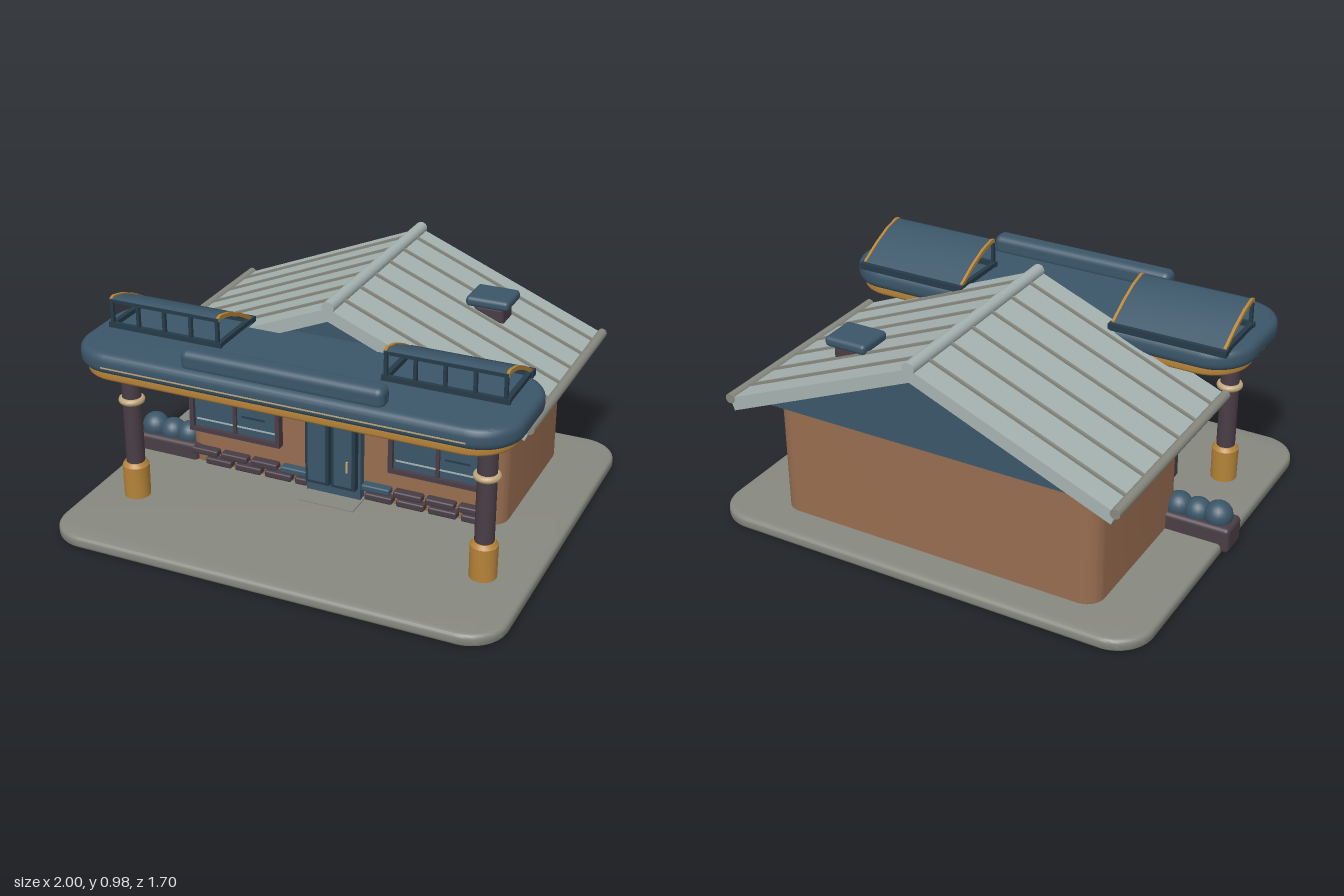
import * as THREE from 'three';
import { toCreasedNormals } from 'three/addons/utils/BufferGeometryUtils.js';
import { RoundedBoxGeometry } from 'three/addons/geometries/RoundedBoxGeometry.js';

const mat = (name, color) => new THREE.MeshStandardMaterial({ name, color });

export function createModel() {
  const concrete = mat('concrete', 0x87887f), wall = mat('brown wall', 0x986d50);
  const roofMat = mat('pale roof', 0xa6b3b1), blue = mat('slate blue', 0x3b5669);
  const gold = mat('gold', 0xb68439), plum = mat('dark plum', 0x493d45);
  const cream = mat('cream', 0xc0a67c), navy = mat('dark navy', 0x263b49);

  const model = new THREE.Group();
  const CX = 0.013; // building axis
  const add = (name, geo, m, x = 0, y = 0, z = 0, parent = model) => {
    const mesh = new THREE.Mesh(geo, m);
    mesh.name = name;
    mesh.position.set(x, y, z);
    parent.add(mesh);
    return mesh;
  };
  // box given by its limits, optionally rounded
  const box = (name, m, x0, x1, y0, y1, z0, z1, r = 0) => {
    const s = [x1 - x0, y1 - y0, z1 - z0];
    const geo = r ? new RoundedBoxGeometry(...s, 3, r) : new THREE.BoxGeometry(...s);
    return add(name, geo, m, (x0 + x1) / 2, (y0 + y1) / 2, (z0 + z1) / 2);
  };
  // horizontal slab with rounded plan corners and rolled edges, standing on its own y = 0
  const slab = (w, d, r, h, b) => {
    const x = w / 2 - b, y = d / 2 - b, q = r - b, s = new THREE.Shape();
    s.absarc(x - q, y - q, q, 0, Math.PI / 2);
    s.absarc(-x + q, y - q, q, Math.PI / 2, Math.PI);
    s.absarc(-x + q, -y + q, q, Math.PI, Math.PI * 1.5);
    s.absarc(x - q, -y + q, q, Math.PI * 1.5, Math.PI * 2);
    const geo = new THREE.ExtrudeGeometry(s, {
      depth: h - 2 * b, bevelEnabled: b > 0, bevelThickness: b, bevelSize: b, bevelSegments: 4, curveSegments: 8,
    });
    geo.translate(0, 0, b).rotateX(-Math.PI / 2);
    return toCreasedNormals(geo, 0.7);
  };
  // sheet of thickness t following [z, y] points, spanning x0..x1
  const sheet = (pts, x0, x1, t) => {
    const outline = [...pts, ...pts.map(([z, y]) => [z, y - t]).reverse()];
    const s = new THREE.Shape(outline.map(p => new THREE.Vector2(...p)));
    const geo = new THREE.ExtrudeGeometry(s, { depth: x1 - x0, bevelEnabled: false });
    geo.rotateY(-Math.PI / 2).translate(x1, 0, 0);
    return toCreasedNormals(geo, 0.6);
  };
  // polygon in x, y extruded along z0..z1
  const prism = (pts, z0, z1) => new THREE.ExtrudeGeometry(
    new THREE.Shape(pts.map(p => new THREE.Vector2(...p))), { depth: z1 - z0, bevelEnabled: false },
  ).translate(0, 0, z0);

  // ground and walls
  add('groundSlab', slab(1.965, 1.7, 0.16, 0.055, 0.018), concrete, CX, 0, -0.005);
  add('walls', slab(1.47, 0.76, 0.08, 0.55, 0), wall, CX, 0.045, -0.32);
  box('doorStep', concrete, -0.12, 0.135, 0.05, 0.06, 0.04, 0.2);

  // gable roof
  add('gable', prism([[-0.74, 0.585], [0.74, 0.585], [0, 0.9]], -0.77, 0.125), blue, CX);
  const roofShape = [[0, 0.955], [-0.865, 0.598], [-0.845, 0.545], [0, 0.898], [0.845, 0.545], [0.865, 0.598]];
  add('roof', prism(roofShape, -0.82, 0.18), roofMat, CX);
  const pipe = (name, m, r, x, y) =>
    add(name, new THREE.CylinderGeometry(r, r, 1.005, 16), m, x, y, -0.322).rotation.x = Math.PI / 2;
  pipe('ridgeCap', roofMat, 0.027, CX, 0.956);
  const pitch = Math.atan2(0.357, 0.865);
  for (const s of [-1, 1]) {
    pipe('eaveGutter', concrete, 0.021, CX + s * 0.862, 0.597);
    for (let i = 0; i < 6; i++) {
      const seam = add('roofSeam', new THREE.BoxGeometry(0.92, 0.016, 0.011), concrete,
        CX + s * 0.433, 0.779, 0.064 - i * 0.155);
      seam.rotation.z = -s * pitch;
    }
  }
  box('ventStem', plum, 0.41, 0.545, 0.7, 0.81, -0.56, -0.43, 0.02);
  box('ventCap', blue, 0.38, 0.572, 0.8, 0.845, -0.58, -0.41, 0.018);

  // front canopy
  add('canopyTrim', slab(1.83, 0.53, 0.17, 0.05, 0.012), gold, CX, 0.69, 0.382);
  add('canopyDeck', slab(1.885, 0.555, 0.18, 0.09, 0.032), blue, CX, 0.718, 0.382);
  box('canopyStripe', cream, -0.76, 0.785, 0.748, 0.754, 0.654, 0.661);
  box('canopyBar', blue, -0.415, 0.445, 0.79, 0.88, 0.546, 0.633, 0.03);

  // columns and tilted canopy panels, one of each per side
  for (const s of [-1, 1]) {
    const x = CX + s * 0.783, z = 0.428;
    const foot = [[0, 0.05], [0.056, 0.05], [0.057, 0.2], [0.045, 0.217], [0, 0.217]];
    add('columnFoot', toCreasedNormals(new THREE.LatheGeometry(foot.map(p => new THREE.Vector2(...p)), 20), 0.6),
      gold, x, 0, z);
    add('columnShaft', new THREE.CylinderGeometry(0.04, 0.04, 0.5, 20), plum, x, 0.45, z);
    const ring = add('columnRing', new THREE.TorusGeometry(0.041, 0.015, 10, 24), cream, x, 0.505, z);
    ring.rotation.x = Math.PI / 2;

    const px = s < 0 ? -0.608 : 0.605, h = 0.25;
    const slope = [[0.125, 0.828], [0.22, 0.882], [0.31, 0.921], [0.385, 0.938], [0.405, 0.932]];
    add('tiltedPanel', sheet(slope, px - h, px + h, 0.012), blue);
    for (const e of [-1, 1]) {
      const ex = px + e * (h - 0.004);
      add('panelEdge', sheet(slope.map(([a, b]) => [a, b + 0.005]), ex - 0.006, ex + 0.006, 0.018), gold);
      box('panelSideRail', navy, ex - 0.01, ex + 0.01, 0.803, 0.828, 0.13, 0.41);
    }
    for (let i = 0; i < 5; i++) {
      const bx = px - 0.242 + i * 0.121;
      box('panelPost', navy, bx - 0.007, bx + 0.007, 0.805, 0.93, 0.396, 0.411);
    }
    box('panelTopRail', navy, px - h, px + h, 0.918, 0.932, 0.396, 0.41);
    box('panelFrontRail', navy, px - 0.26, px + 0.26, 0.803, 0.83, 0.394, 0.412);
    box('panelBackRail', navy, px - 0.26, px + 0.26, 0.8, 0.828, 0.105, 0.14);
  }

  // windows
  for (const x of [-0.475, 0.465]) {
    const w = 0.218, y0 = 0.22, y1 = 0.485, t = 0.02;
    box('windowGlass', blue, x - w + t, x + w - t, y0 + t, y1 - t, 0.05, 0.078);
    box('windowFrameTop', plum, x - w, x + w, y1 - t, y1, 0.05, 0.097);
    box('windowFrameBottom', plum, x - w, x + w, y0, y0 + t, 0.05, 0.097);
    for (const s of [-1, 1]) {
      const fx = x + s * (w - t / 2);
      box('windowFrameSide', plum, fx - t / 2, fx + t / 2, y0, y1, 0.05, 0.096);
    }
    box('windowMullion', plum, x - 0.008, x + 0.008, y0, y1, 0.05, 0.09);
    box('windowUpperLine', roofMat, x - 0.19, x + 0.19, 0.416, 0.423, 0.075, 0.081);
    box('windowLowerLine', roofMat, x - 0.19, x + 0.19, 0.272, 0.279, 0.075, 0.081);
    box('windowMark', navy, x + 0.03, x + 0.14, 0.323, 0.331, 0.075, 0.081);
  }

  // double door
  box('doorSurround', blue, -0.125, 0.125, 0.055, 0.52, 0.05, 0.1);
  for (const [a, b] of [[-0.115, -0.006], [0.006, 0.115]]) {
    box('doorLeaf', navy, a, b, 0.115, 0.495, 0.09, 0.135);
    box('doorPane', blue, a + 0.014, b - 0.014, 0.13, 0.48, 0.132, 0.14);
  }
  box('doorHandle', cream, 0.078, 0.087, 0.205, 0.255, 0.135, 0.15);

  // striped awning
  const arc = [0, 1, 2, 3, 4, 5, 6].map(i => {
    const a = (i / 6) * Math.PI / 2;
    return [0.055 + 0.155 * Math.sin(a), 0.472 + 0.095 * Math.cos(a)];
  });
  for (let i = 0; i < 7; i++) {
    const x = -0.185 + i * 0.0865;
    add('awningStripe', sheet(arc, x, x + 0.0865, 0.009), i % 2 ? cream : blue);
  }

  // brick courses either side of the door
  for (const x0 of [-0.69, 0.127]) {
    for (let i = 0; i < 4; i++) {
      const x = x0 + i * 0.145;
      const accent = x0 < 0 ? i === 3 : i === 0;
      box('upperBrick', accent ? blue : plum, x, x + 0.128, 0.106, 0.136, 0.045, 0.1, 0.008);
      const lx = x0 < 0 ? x + 0.07 : x + 0.015;
      const lw = x0 < 0 && i === 3 ? 0.058 : 0.125;
      box('lowerBrick', plum, lx, lx + lw, 0.066, 0.098, 0.045, 0.1, 0.008);
    }
  }

  // side planter with round shrubs
  box('planter', plum, -1, -0.68, 0.013, 0.13, -0.07, 0.07, 0.02);
  [[-0.925, 0.06, 0.15], [-0.835, 0.057, 0.142], [-0.75, 0.057, 0.145]].forEach(([x, r, y]) =>
    add('shrub', new THREE.SphereGeometry(r, 20, 14), blue, x, y, 0));

  return model;
}
